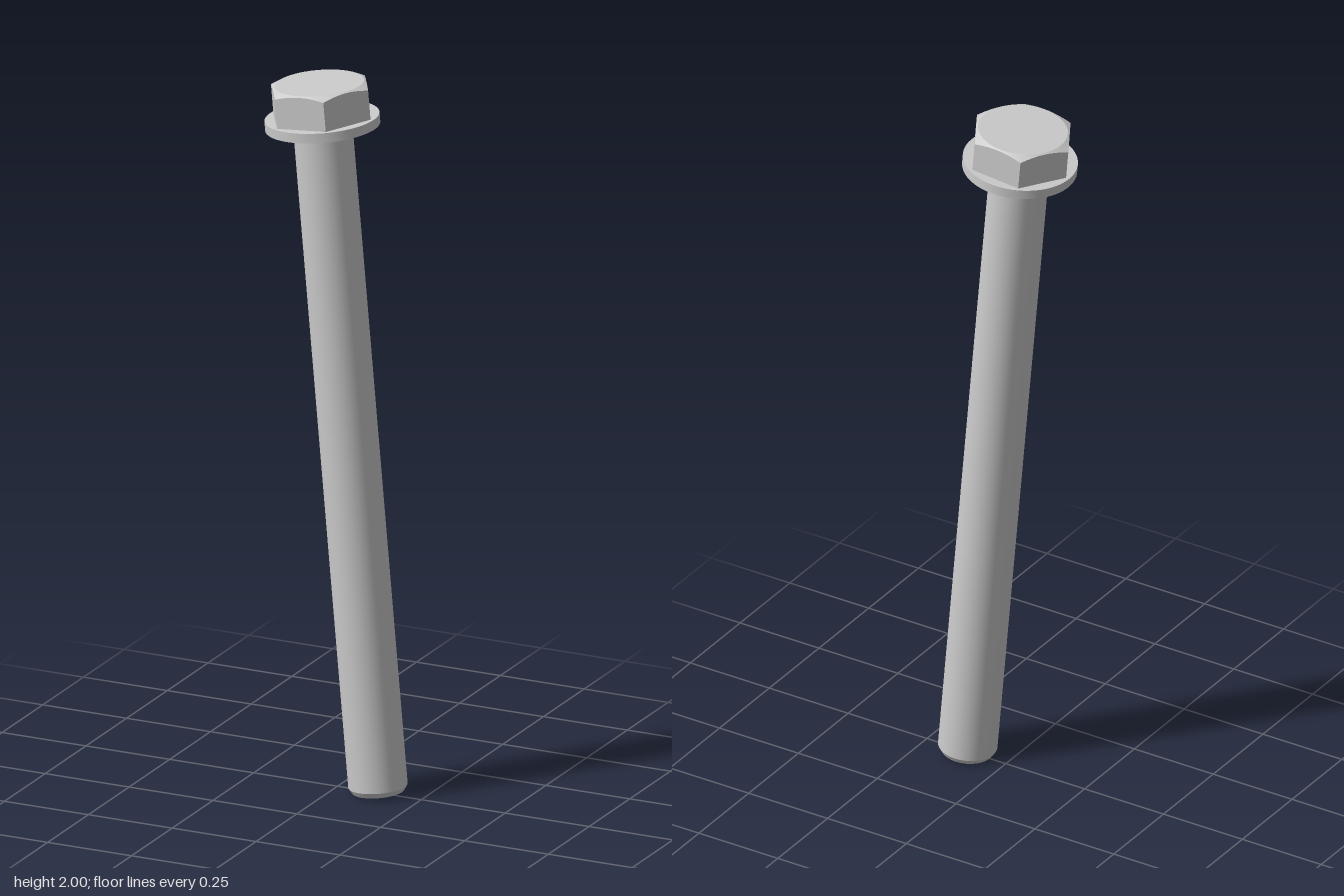
import * as THREE from 'three';
import { toCreasedNormals } from 'three/addons/utils/BufferGeometryUtils.js';

const TILT = 0.0888;
const material = new THREE.MeshStandardMaterial({ color: 0xcccccc });

function turned(profile, segments = 48) {
  return new THREE.LatheGeometry(profile.map(([r, y]) => new THREE.Vector2(r, y)), segments);
}

// Hexagonal prism whose top corners are cut by a shallow cone
function hexHead(apothem, bottom, top) {
  const topRadius = apothem * 0.96;
  const geometry = turned([[0, bottom], [1, bottom], [1, top], [topRadius, top], [0, top]]);
  const pos = geometry.attributes.position;
  const sector = Math.PI / 3;
  for (let i = 0; i < pos.count; i++) {
    const x = pos.getX(i), y = pos.getY(i), z = pos.getZ(i);
    if (Math.hypot(x, z) < 0.9) continue;
    const angle = Math.atan2(x, z);
    const r = apothem / Math.cos(angle - Math.round(angle / sector) * sector);
    const drop = y > (bottom + top) / 2 ? (r - topRadius) * 0.5 : 0;
    pos.setXYZ(i, x * r, y - drop, z * r);
  }
  return geometry;
}

export function createModel() {
  const model = new THREE.Group();
  model.name = 'flangeBolt';

  const bolt = new THREE.Group();
  bolt.name = 'tiltedBolt';
  bolt.position.set(0.122, 0.006, 0);
  bolt.rotation.z = TILT;
  model.add(bolt);

  const add = (name, geometry) => {
    const mesh = new THREE.Mesh(toCreasedNormals(geometry, 0.4), material);
    mesh.name = name;
    bolt.add(mesh);
  };

  // Plain round shank with a chamfered tip
  add('shank', turned([[0, 0], [0.071, 0], [0.08, 0.015], [0.08, 1.88]]));

  // Washer-like flange under the head
  add('flange', turned([[0, 1.87], [0.155, 1.87], [0.155, 1.897], [0, 1.897]], 64));

  // Hex head, corners pointing along x
  add('hexHead', hexHead(0.126, 1.89, 1.991));

  return model;
}
